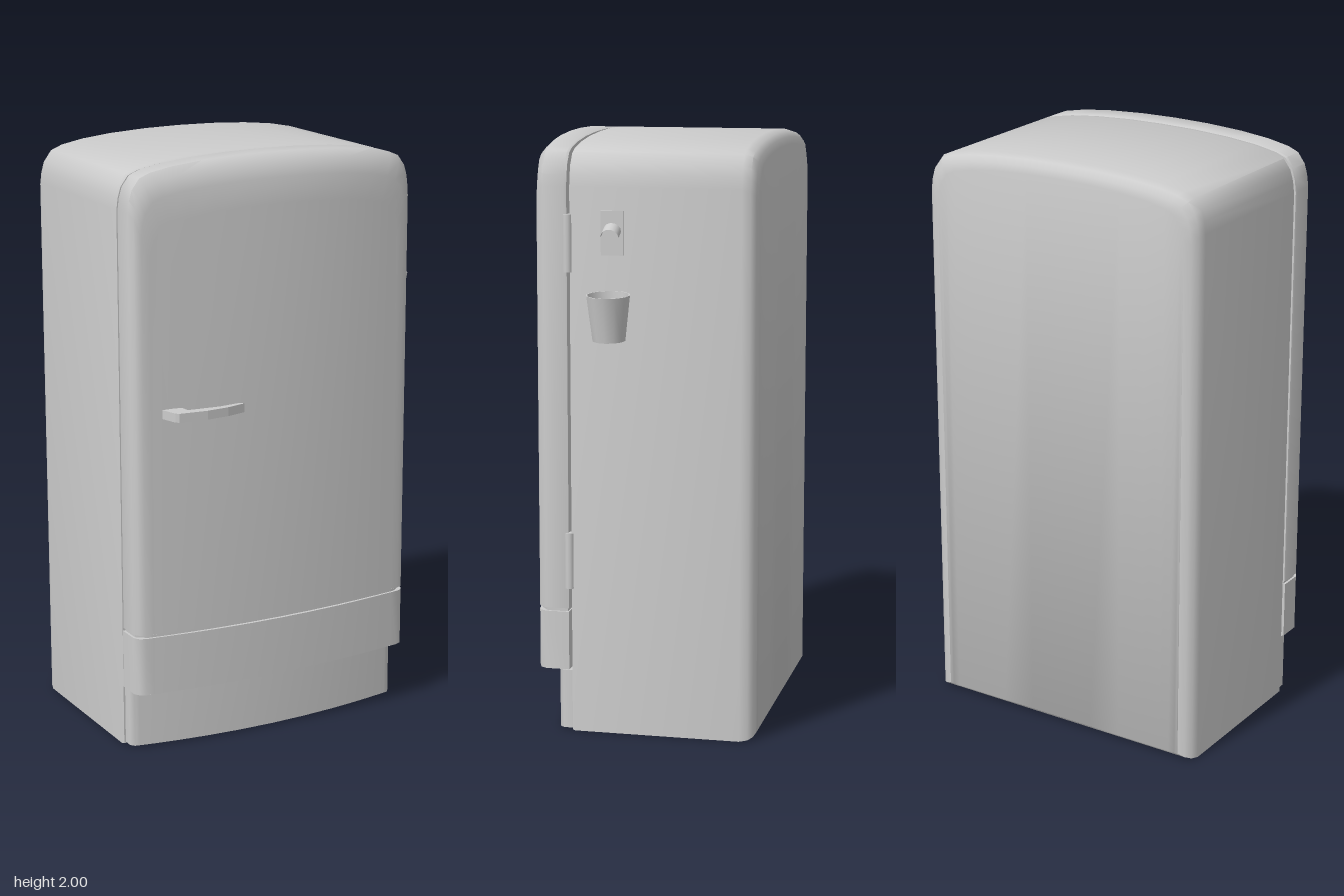
import * as THREE from 'three';
import { toCreasedNormals } from 'three/addons/utils/BufferGeometryUtils.js';

const CX = -0.075; // cabinet centre line; the side accessories fill the rest of the width
// Half of the arched top: [fraction of half width, drop below the crown]
const ARCH = [[0, 0], [0.25, 0.002], [0.5, 0.009], [0.7, 0.02], [0.85, 0.035], [0.92, 0.05], [0.97, 0.085], [0.99, 0.12], [1, 0.16]];
const SPAN = [...ARCH.slice(1).reverse().map(([u, d]) => [-u, d]), ...ARCH];

// Panel lofted from back to front. Each ring: z, forward bulge, side inset, top inset, bottom inset.
function panel(halfWidth, y0, y1, arched, rings) {
  const n = SPAN.length, m = 2 * n, pos = [], index = [];
  for (const [z, bulge = 0, side = 0, top = 0, bottom = 0] of rings) {
    const put = (u, y) => pos.push(CX + (halfWidth - side) * u, y, z + bulge * (1 - u * u));
    for (const [u] of SPAN) put(u, y0 + bottom);
    for (const [u, d] of [...SPAN].reverse()) put(u, y1 - top - (arched ? d : 0));
  }
  const quad = (a, b, c, d) => index.push(a, b, c, a, c, d);
  for (let r = 0; r < rings.length - 1; r++) {
    for (let j = 0; j < m; j++) {
      const k = (j + 1) % m;
      quad(r * m + j, r * m + k, (r + 1) * m + k, (r + 1) * m + j);
    }
  }
  // Back and front faces, in strips from bottom edge to top edge
  const f = (rings.length - 1) * m;
  for (let j = 0; j < n - 1; j++) {
    quad(j + 1, j, m - 1 - j, m - 2 - j);
    quad(f + j, f + j + 1, f + m - 2 - j, f + m - 1 - j);
  }
  const g = new THREE.BufferGeometry();
  g.setAttribute('position', new THREE.Float32BufferAttribute(pos, 3));
  g.setIndex(index);
  return toCreasedNormals(g, 0.7);
}

export function createModel() {
  const model = new THREE.Group();
  const mat = new THREE.MeshStandardMaterial({ color: 0xcccccc });
  const thin = new THREE.MeshStandardMaterial({ color: 0xcccccc, side: THREE.DoubleSide });
  const add = (name, geometry, x = 0, y = 0, z = 0, material = mat) => {
    const mesh = new THREE.Mesh(geometry, material);
    mesh.name = name;
    mesh.position.set(x, y, z);
    model.add(mesh);
    return mesh;
  };

  // Cabinet with rounded back edges
  add('cabinet', panel(0.525, 0, 2, true, [
    [-0.42, 0, 0.05, 0.05, 0.02], [-0.413, 0, 0.026, 0.026, 0.011], [-0.397, 0, 0.008, 0.008, 0.004],
    [-0.37], [0.195], [0.203, 0, 0.004, 0.004, 0.002],
  ]));

  // Bowed door, softened at the top and sides
  add('door', panel(0.525, 0.425, 2, true, [
    [0.213, 0, 0.003, 0.003], [0.22], [0.292, 0.008], [0.313, 0.022, 0.012, 0.025],
    [0.322, 0.031, 0.032, 0.075], [0.325, 0.035, 0.06, 0.16],
  ]));

  // Lower panel and the recessed seam above it
  add('lowerPanel', panel(0.525, 0.213, 0.413, false, [
    [0.213], [0.292, 0.008], [0.313, 0.022, 0.012], [0.322, 0.031, 0.032], [0.325, 0.035, 0.06],
  ]));
  add('panelSeam', panel(0.517, 0.41, 0.428, false, [[0.218], [0.288, 0.008], [0.315, 0.034, 0.035]]));

  // Bowed kick plate
  add('kickPlate', panel(0.515, 0.006, 0.208, false, [
    [0.2], [0.235, 0.03], [0.25, 0.052, 0.012],
  ]));

  // Door hinges
  for (const y of [0.59, 1.655]) {
    add('hinge', new THREE.CylinderGeometry(0.016, 0.016, 0.19, 10), 0.444, y, 0.21);
  }

  // Door handle, cut from its plan outline
  const plan = [[-0.505, 0.335], [-0.488, 0.392], [-0.478, 0.402], [-0.38, 0.412], [-0.3, 0.406], [-0.232, 0.389],
    [-0.245, 0.376], [-0.32, 0.384], [-0.433, 0.374], [-0.436, 0.335]];
  const handle = new THREE.ExtrudeGeometry(new THREE.Shape(plan.map(([x, z]) => new THREE.Vector2(x, z))),
    { depth: 0.03, bevelEnabled: false });
  add('handle', handle.rotateX(Math.PI / 2), 0, 1.195, 0);

  // Bottle opener: wall plate with a sloping hood
  add('openerPlate', new THREE.BoxGeometry(0.012, 0.145, 0.076), 0.452, 1.692, 0.057);
  const hood = new THREE.CylinderGeometry(0.03, 0.03, 0.042, 10, 1, true, 0, Math.PI);
  const opener = add('openerHood', hood.rotateZ(Math.PI / 2), 0.472, 1.69, 0.057, thin);
  opener.rotation.z = -0.45;

  // Cap cup, slightly tilted away from the cabinet
  const profile = [[0, 0], [0.055, 0], [0.073, 0.15], [0.069, 0.15], [0.051, 0.006], [0, 0.006]];
  const cup = new THREE.LatheGeometry(profile.map(([x, y]) => new THREE.Vector2(x, y)), 12);
  add('capCup', toCreasedNormals(cup, 0.7), 0.514, 1.349, 0.055).rotation.z = -0.06;

  return model;
}
